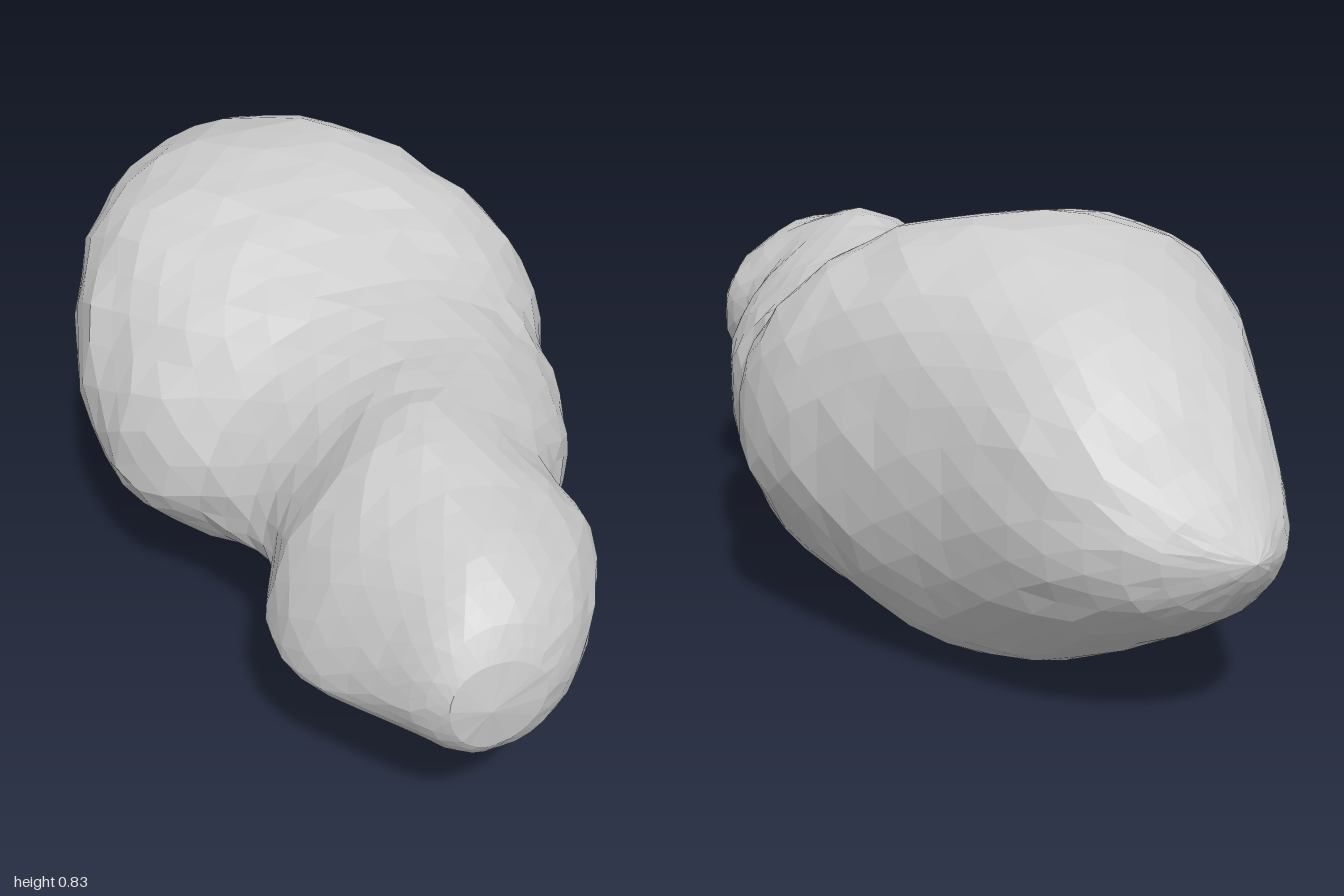
import * as THREE from 'three';

// Cross-sections from back tip to blunt front:
// z, left x, left y, right x, right y, bottom y, top y, crown x
const SECTIONS = [
  [-0.985, -0.10, 0.36, -0.01, 0.36, 0.325, 0.385, -0.06],
  [-0.91, -0.19, 0.35, 0.13, 0.37, 0.23, 0.49, -0.04],
  [-0.76, -0.265, 0.38, 0.245, 0.39, 0.135, 0.67, -0.02],
  [-0.56, -0.37, 0.40, 0.32, 0.41, 0.035, 0.785, 0.02],
  [-0.36, -0.455, 0.42, 0.40, 0.42, 0.0, 0.835, 0.05],
  [-0.20, -0.49, 0.42, 0.465, 0.43, 0.035, 0.82, 0.05],
  [-0.06, -0.49, 0.36, 0.485, 0.42, 0.07, 0.77, 0.03],
  [0.08, -0.45, 0.34, 0.43, 0.41, 0.11, 0.70, 0.03],
  [0.24, -0.335, 0.34, 0.40, 0.41, 0.16, 0.67, 0.03],
  [0.40, -0.285, 0.35, 0.335, 0.42, 0.185, 0.675, 0.0],
  [0.56, -0.345, 0.33, 0.225, 0.46, 0.185, 0.685, -0.04],
  [0.70, -0.34, 0.32, 0.235, 0.46, 0.18, 0.65, -0.05],
  [0.84, -0.27, 0.35, 0.17, 0.44, 0.22, 0.62, -0.06],
  [0.94, -0.215, 0.40, 0.09, 0.42, 0.255, 0.565, -0.07],
  [0.985, -0.17, 0.41, 0.01, 0.41, 0.31, 0.49, -0.09],
];

// Roundness of each quarter (upper left, upper right, lower left, lower right),
// one row for every second cross-section; higher is boxier
const FULLNESS = [
  [2.0, 2.0, 2.0, 2.0],
  [2.4, 2.1, 2.0, 2.2],
  [2.7, 2.15, 2.0, 2.25],
  [2.4, 2.4, 1.9, 2.25],
  [1.8, 2.0, 1.8, 2.4],
  [1.6, 1.75, 1.6, 2.1],
  [1.7, 1.85, 1.7, 2.1],
  [2.0, 2.0, 2.0, 2.0],
];

const RINGS = 38;
const SIDES = 30;

// Catmull-Rom blend of neighbouring rows
function blend(table, t) {
  const last = table.length - 1;
  const f = t * last;
  const i = Math.min(Math.floor(f), last - 1);
  const s = f - i;
  const at = (k) => table[Math.max(0, Math.min(last, k))];
  return table[0].map((_, c) => {
    const a = at(i - 1)[c], b = at(i)[c], d = at(i + 1)[c], e = at(i + 2)[c];
    return b + 0.5 * s * (d - a + s * (2 * a - 5 * b + 4 * d - e + s * (3 * (b - d) + e - a)));
  });
}

function seeded(seed) {
  return () => {
    seed = (seed * 16807) % 2147483647;
    return seed / 2147483647 - 0.5;
  };
}

const signedPower = (v, p) => Math.sign(v) * Math.pow(Math.abs(v), p);

function rockGeometry() {
  const rand = seeded(73);
  const positions = [];
  const index = [];

  for (let r = 0; r <= RINGS; r++) {
    const t = r / RINGS;
    const [z, xl, yl, xr, yr, yb, yt, xc] = blend(SECTIONS, t);
    const fullness = blend(FULLNESS, t);
    const rough = 0.028 * Math.sin(Math.PI * t) + 0.003;
    for (let s = 0; s < SIDES; s++) {
      const a = ((s + (r % 2) * 0.5) / SIDES) * Math.PI * 2;
      const cos = Math.cos(a), sin = Math.sin(a);
      const power = 2 / fullness[(sin > 0 ? 0 : 2) + (cos > 0 ? 1 : 0)];
      const c = signedPower(cos, power);
      const v = signedPower(sin, power);
      const side = c > 0 ? xr - xc : xc - xl;
      // widest height slides between the two flanks
      const mid = THREE.MathUtils.lerp(yl, yr, (c + 1) / 2);
      const height = v > 0 ? yt - mid : mid - yb;
      const swell = 1 + rough * rand();
      positions.push(
        xc + c * side * swell,
        Math.max(0, mid + v * height * swell),
        z + rough * 0.7 * rand(),
      );
    }
  }

  // Skin between staggered rings
  for (let r = 0; r < RINGS; r++) {
    for (let s = 0; s < SIDES; s++) {
      const n = (s + 1) % SIDES;
      const a = r * SIDES + s, b = r * SIDES + n;
      const c = a + SIDES, d = b + SIDES;
      if (r % 2) index.push(a, b, d, a, d, c);
      else index.push(a, b, c, b, d, c);
    }
  }

  // Closed tips
  const back = positions.length / 3;
  positions.push(-0.06, 0.36, -1, -0.1, 0.4, 1);
  const front = back + 1;
  const lastRing = RINGS * SIDES;
  for (let s = 0; s < SIDES; s++) {
    const n = (s + 1) % SIDES;
    index.push(back, n, s, front, lastRing + s, lastRing + n);
  }

  const geometry = new THREE.BufferGeometry();
  geometry.setAttribute('position', new THREE.Float32BufferAttribute(positions, 3));
  geometry.setIndex(index);
  geometry.computeVertexNormals();
  return geometry;
}

export function createModel() {
  const group = new THREE.Group();
  group.name = 'asteroid';
  const material = new THREE.MeshStandardMaterial({ color: 0xcccccc, flatShading: true });
  const rock = new THREE.Mesh(rockGeometry(), material);
  rock.name = 'rockBody';
  group.add(rock);
  return group;
}
